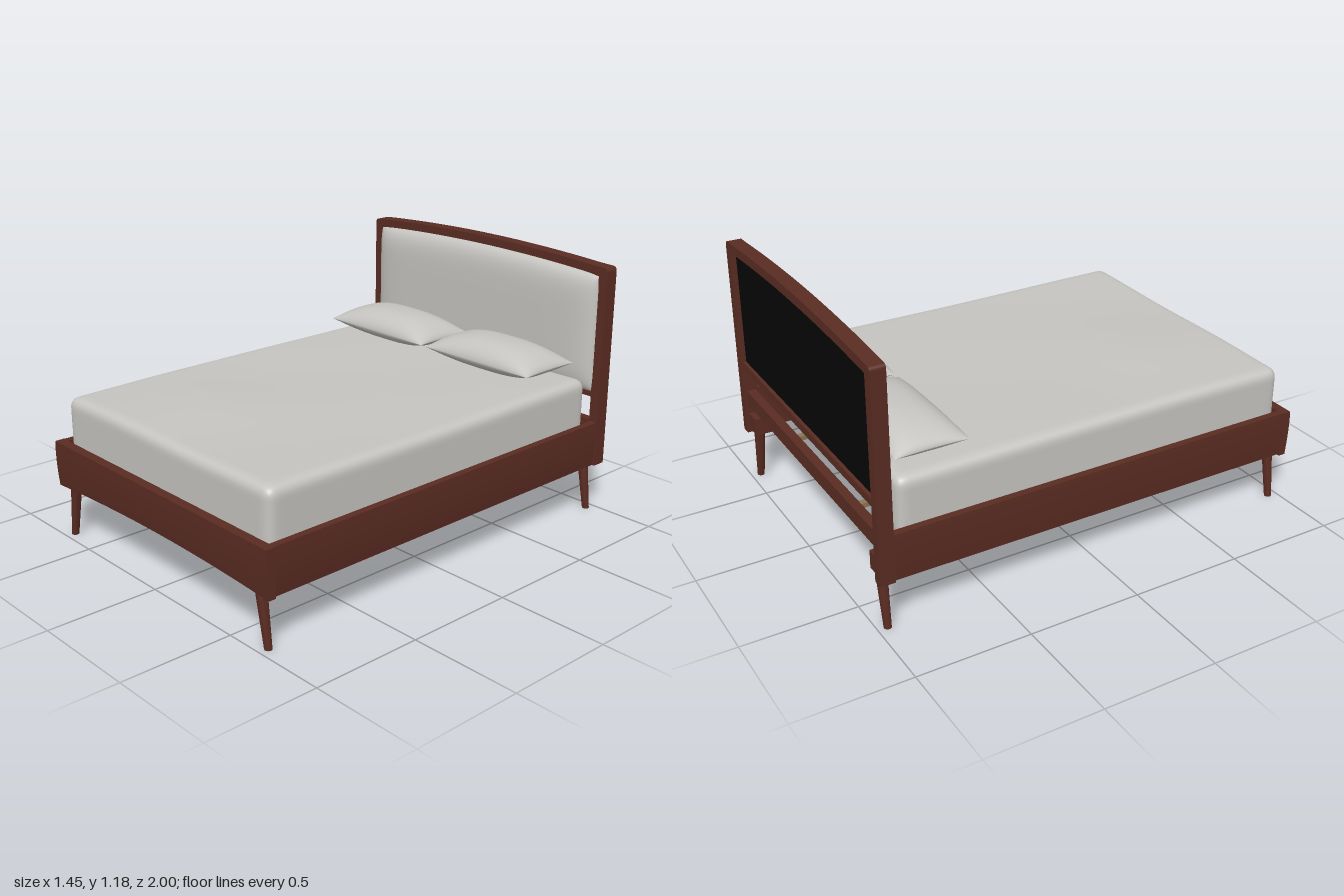
import * as THREE from 'three';
import { mergeVertices, toCreasedNormals } from 'three/addons/utils/BufferGeometryUtils.js';

const mat = (name, color) => Object.assign(new THREE.MeshStandardMaterial({ color }), { name });

// Move every vertex of a geometry by a rule
function reshape(geo, rule) {
  const p = geo.attributes.position;
  const v = new THREE.Vector3();
  for (let i = 0; i < p.count; i++) {
    rule(v.fromBufferAttribute(p, i));
    p.setXYZ(i, v.x, v.y, v.z);
  }
  geo.computeVertexNormals();
  return geo;
}

// Spread grid lines towards the edges, where the curves are tight
const ease = (t) => Math.sin(THREE.MathUtils.clamp(t, -1, 1) * Math.PI / 2);

// Padded sheet facing +z; pinch draws the middle of each side inwards
function padded(w, h, depth, p, q, power, pinch = 0) {
  return reshape(new THREE.PlaneGeometry(2, 2, 40, 32), (v) => {
    const u = ease(v.x), t = ease(v.y);
    const fill = Math.max(0, (1 - Math.abs(u) ** p) * (1 - Math.abs(t) ** q));
    v.set(u * (w / 2) * (1 - pinch * (1 - t * t)), t * (h / 2) * (1 - pinch * (1 - u * u)), depth * fill ** power);
  });
}

// Box with soft rounded edges
function softBox(w, h, d, r) {
  let geo = new THREE.BoxGeometry(2, 2, 2, 36, 20, 44);
  geo.deleteAttribute('uv');
  geo.deleteAttribute('normal');
  geo = mergeVertices(geo);
  const half = new THREE.Vector3(w / 2, h / 2, d / 2);
  const inner = half.clone().subScalar(r);
  return reshape(geo, (v) => {
    v.set(ease(v.x), ease(v.y), ease(v.z)).multiply(half);
    const core = v.clone().clamp(inner.clone().negate(), inner);
    v.sub(core).setLength(r).add(core);
  });
}

// Rise of the headboard arch at x
const arch = (x) => 0.027 * (1 - (x / 0.7) ** 2);

export function createModel() {
  const bed = new THREE.Group();
  bed.name = 'bed';
  const wood = mat('dark wood', 0x5a2c22);
  const fabric = mat('light fabric', 0xc6c4c0);
  const backing = mat('black backing', 0x060606);
  const slatWood = mat('slat wood', 0x8c7555);

  const add = (name, geo, material, x = 0, y = 0, z = 0, parent = bed) => {
    const mesh = new THREE.Mesh(geo, material);
    mesh.name = name;
    mesh.position.set(x, y, z);
    parent.add(mesh);
    return mesh;
  };
  const box = (name, w, h, d, material, x, y, z) => add(name, new THREE.BoxGeometry(w, h, d), material, x, y, z);

  // Headboard frame: two posts joined by an arched top
  const frame = new THREE.Shape();
  frame.moveTo(-0.725, 0.23);
  frame.lineTo(-0.68, 0.23);
  frame.lineTo(-0.68, 1.112);
  for (let i = 0; i <= 24; i++) {
    const x = -0.67 + 1.34 * i / 24;
    frame.lineTo(x, 1.112 + arch(x));
  }
  frame.lineTo(0.68, 1.112);
  frame.lineTo(0.68, 0.23);
  frame.lineTo(0.725, 0.23);
  frame.lineTo(0.725, 1.135);
  frame.quadraticCurveTo(0.724, 1.153, 0.705, 1.155);
  for (let i = 1; i <= 24; i++) {
    const x = 0.7 - 1.4 * i / 24;
    frame.lineTo(x, 1.153 + arch(x));
  }
  frame.quadraticCurveTo(-0.724, 1.153, -0.725, 1.135);
  add('headboardFrame', new THREE.ExtrudeGeometry(frame, { depth: 0.065, bevelEnabled: false }), wood, 0, 0, -1);

  // Upholstered panel, its backing, and the rails below them
  const bend = (geo) => reshape(geo, (v) => { v.y += arch(v.x) * (v.y + 0.275) / 0.55; });
  add('headboardCushion', bend(padded(1.37, 0.54, 0.06, 10, 6, 0.5)), fabric, 0, 0.847, -0.945);
  add('headboardBacking', bend(new THREE.BoxGeometry(1.37, 0.54, 0.02, 24, 1, 1)), backing, 0, 0.847, -0.965);
  box('headboardBottomRail', 1.37, 0.035, 0.045, wood, 0, 0.568, -0.968);
  box('headboardLowerRail', 1.37, 0.07, 0.04, wood, 0, 0.405, -0.965);

  // Rail cross-section with a gently bowed outer face (x points outwards)
  const railGeometry = (thick, length, lift) => {
    const s = new THREE.Shape();
    s.moveTo(-thick, 0.23);
    s.lineTo(-0.012, 0.23);
    for (let i = 1; i <= 10; i++) {
      const t = i / 10;
      s.lineTo(-0.012 * (1 - t) ** 2 - 0.003 * t ** 4, 0.23 + 0.21 * t);
    }
    s.lineTo(-thick, 0.44);
    s.closePath();
    const geo = new THREE.ExtrudeGeometry(s, { depth: length, steps: 24, bevelEnabled: false });
    geo.translate(0, 0, -length / 2);
    reshape(geo, (v) => {
      v.y += lift * (1 - (2 * v.z / length) ** 2) * (0.44 - v.y) / 0.21;
    });
    return toCreasedNormals(geo, 0.5);
  };
  add('footboard', railGeometry(0.046, 1.45, 0.026), wood, 0, 0, 1).rotation.y = -Math.PI / 2;
  for (const side of [-1, 1]) {
    const rail = add('sideRail', railGeometry(0.035, 1.89, 0), wood, side * 0.724, 0, 0.01);
    rail.rotation.y = side < 0 ? Math.PI : 0;
  }

  // Splayed tapered legs with corner blocks
  for (const side of [-1, 1]) {
    for (const end of [-1, 1]) {
      const leg = new THREE.CylinderGeometry(0.025, 0.016, 0.27, 20);
      leg.translate(0, 0.135, 0);
      reshape(leg, (v) => { v.x -= side * 0.15 * v.y; });
      add('leg', toCreasedNormals(leg, 0.7), wood, side * 0.677, 0, end * 0.957);
      box('cornerBlock', 0.085, 0.08, 0.085, wood, side * 0.647, 0.285, end * (end > 0 ? 0.915 : 0.942));
    }
  }

  // Slats under the mattress
  for (const x of [-0.32, 0.32]) box('longSlat', 0.03, 0.02, 1.9, slatWood, x, 0.345, 0);
  for (let i = 0; i < 5; i++) box('crossSlat', 1.38, 0.02, 0.03, slatWood, 0, 0.362, 0.7 - 0.325 * i);

  // Mattress with a slightly uneven top
  const mattress = reshape(softBox(1.368, 0.273, 1.845, 0.045), (v) => {
    if (v.y < 0.08) return;
    const hump = Math.exp(-(((v.x + 0.3) / 0.35) ** 2) - ((v.z - 0.5) / 0.3) ** 2);
    v.y += 0.012 * hump + 0.002 * Math.sin(7 * v.x + 4 * v.z);
  });
  add('mattress', mattress, fabric, 0, 0.51, 0.027);

  // Pillows: two padded sheets meeting at a seam
  for (const x of [-0.338, 0.303]) {
    const pillow = new THREE.Group();
    pillow.name = 'pillow';
    pillow.position.set(x, 0.71, -0.722);
    bed.add(pillow);
    add('pillowTop', padded(0.615, 0.32, 0.085, 2.6, 2.6, 0.6, 0.03), fabric, 0, 0, 0, pillow).rotation.x = -Math.PI / 2;
    add('pillowBottom', padded(0.615, 0.32, 0.06, 2.6, 2.6, 0.6, 0.03), fabric, 0, 0, 0, pillow).rotation.x = Math.PI / 2;
  }

  return bed;
}
